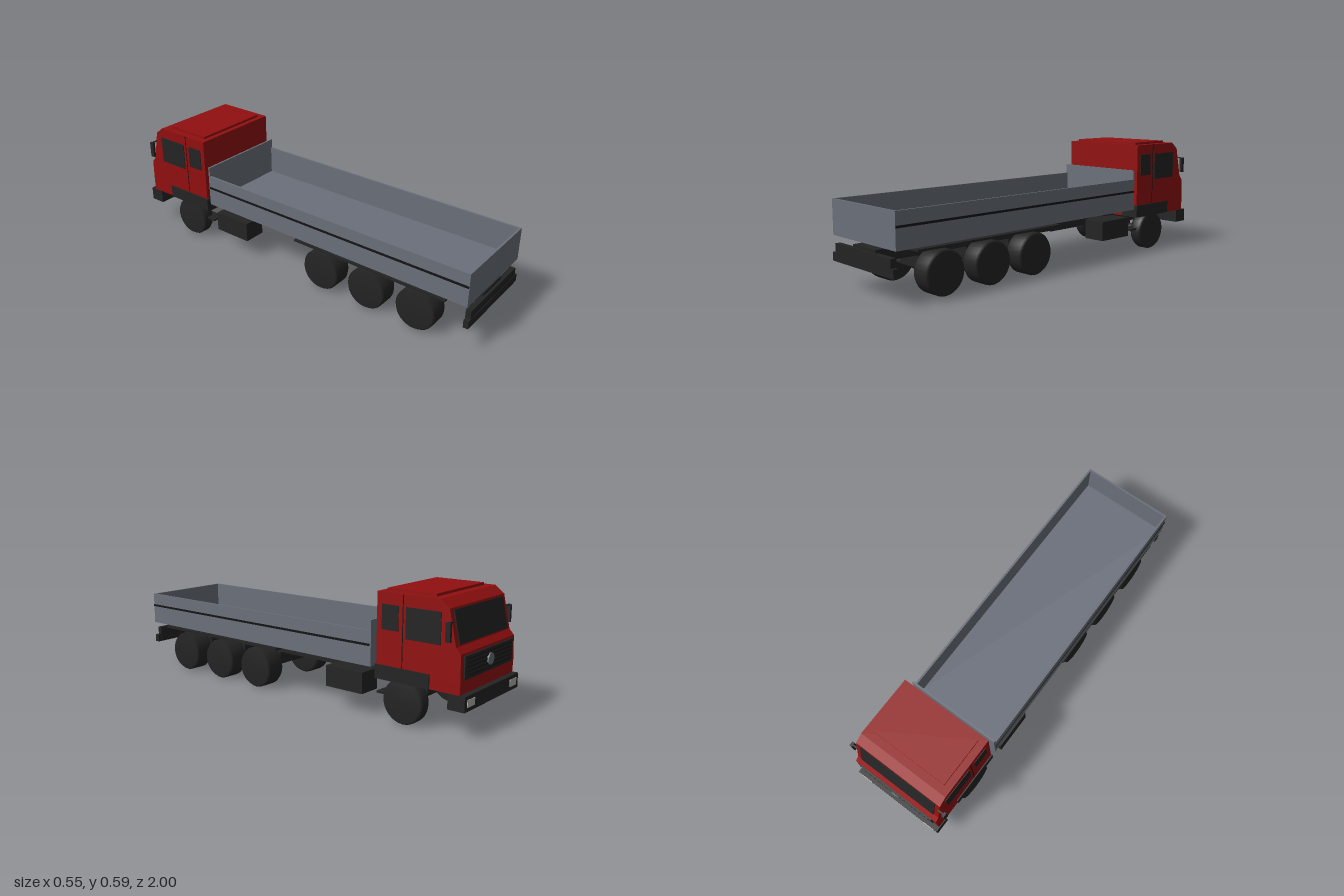
import * as THREE from 'three';

const mat = (name, color) => {
  const m = new THREE.MeshStandardMaterial({ color });
  m.name = name;
  return m;
};

export function createModel() {
  const red = mat('cab red', 0x920f0f);
  const grey = mat('bed grey', 0x6b707b);
  const black = mat('chassis black', 0x242424);
  const dark = mat('line black', 0x141414);
  const lamp = mat('lamp white', 0xb4b4ac);
  const steel = mat('badge grey', 0x6a7278);
  const truck = new THREE.Group();
  truck.name = 'truck';

  const add = (name, geo, material, parent = truck) => {
    const m = new THREE.Mesh(geo, material);
    m.name = name;
    parent.add(m);
    return m;
  };
  // Box given by its limits on each axis
  const box = (name, material, x0, x1, y0, y1, z0, z1, parent = truck) => {
    const m = add(name, new THREE.BoxGeometry(x1 - x0, y1 - y0, z1 - z0), material, parent);
    m.position.set((x0 + x1) / 2, (y0 + y1) / 2, (z0 + z1) / 2);
    return m;
  };
  // The same box on both sides
  const pair = (name, material, x0, x1, ...rest) => {
    box(name + 'Left', material, x0, x1, ...rest);
    box(name + 'Right', material, -x1, -x0, ...rest);
  };

  // Cab body: side profile (forward distance, height) pulled across the width
  const profile = [[0.553, 0.19], [0.97, 0.19], [0.972, 0.25], [0.968, 0.362],
    [0.945, 0.388], [0.91, 0.545], [0.865, 0.58], [0.553, 0.58]];
  const cabGeo = new THREE.ExtrudeGeometry(
    new THREE.Shape(profile.map(p => new THREE.Vector2(...p))),
    { depth: 0.482, bevelEnabled: false });
  cabGeo.translate(0, 0, -0.241).rotateY(Math.PI / 2);
  add('cab', cabGeo, red);
  box('roofHatch', red, -0.205, 0.205, 0.575, 0.592, -0.826, -0.58);

  // Windscreen lies on the sloping front
  const screen = add('windscreen', new THREE.BoxGeometry(0.43, 0.145, 0.008), black);
  screen.position.set(0, 0.466, -0.929);
  screen.rotation.x = Math.atan2(0.035, 0.157);

  // Side glass and door seams
  pair('rearSideWindow', black, 0.237, 0.244, 0.415, 0.527, -0.665, -0.58);
  pair('doorWindow', black, 0.237, 0.244, 0.388, 0.527, -0.874, -0.703);
  pair('doorSeam', dark, 0.237, 0.242, 0.255, 0.578, -0.689, -0.685);

  // Grille with slats and a plain round badge
  box('grille', black, -0.215, 0.215, 0.25, 0.352, -0.976, -0.967);
  for (let i = 0; i < 5; i++) {
    const y = 0.265 + i * 0.018;
    box('grilleSlat', dark, -0.2, 0.2, y, y + 0.006, -0.979, -0.97);
  }
  const badge = add('roundBadge', new THREE.CylinderGeometry(0.026, 0.026, 0.008, 24), steel);
  badge.rotation.x = Math.PI / 2;
  badge.position.set(0, 0.302, -0.98);

  // Front bumper and headlights
  box('frontBumper', black, -0.245, 0.245, 0.122, 0.19, -0.997, -0.917);
  pair('headlight', lamp, 0.162, 0.224, 0.14, 0.173, -1, -0.994);

  // Cab wheel arches, steps and mirrors
  pair('frontFender', black, 0.145, 0.247, 0.19, 0.255, -0.826, -0.548);
  pair('step', black, 0.15, 0.215, 0.113, 0.123, -0.66, -0.54);
  pair('mirror', black, 0.262, 0.275, 0.412, 0.493, -0.935, -0.912);
  pair('mirrorArm', black, 0.235, 0.275, 0.49, 0.495, -0.928, -0.92);

  // Load bed: floor, walls, tall headboard
  box('bedFloor', grey, -0.245, 0.245, 0.236, 0.256, -0.52, 0.99);
  pair('bedSide', grey, 0.235, 0.245, 0.236, 0.4, -0.52, 0.99);
  box('tailgate', grey, -0.235, 0.235, 0.256, 0.4, 0.98, 0.99);
  box('headboard', grey, -0.245, 0.245, 0.236, 0.448, -0.525, -0.515);
  pair('bedStripe', dark, 0.243, 0.249, 0.33, 0.34, -0.518, 0.988);

  // Chassis
  box('frame', black, -0.088, 0.088, 0.163, 0.217, -0.545, 0.985);
  box('frontFrame', black, -0.088, 0.088, 0.14, 0.19, -0.93, -0.545);
  pair('toolBox', black, 0.128, 0.245, 0.1, 0.2, -0.48, -0.27);
  box('boxCarrier', black, -0.13, 0.13, 0.17, 0.2, -0.42, -0.33);
  pair('rearMudguard', black, 0.125, 0.247, 0.218, 0.228, 0.05, 0.885);
  for (const z of [0.12, 0.82]) {
    box('mudguardBracket', black, -0.2, 0.2, 0.205, 0.219, z - 0.01, z + 0.01);
  }
  box('rearBeam', black, -0.217, 0.217, 0.134, 0.203, 0.972, 0.998);
  box('rearBumper', black, -0.237, 0.237, 0.122, 0.162, 0.975, 1);

  // Wheels: chamfered solid drums on plain axles
  const wheelGeo = width => {
    const pts = [[0, 0], [0.094, 0], [0.103, 0.016], [0.103, width - 0.012],
      [0.094, width], [0, width]].map(p => new THREE.Vector2(...p));
    const soft = new THREE.LatheGeometry(pts, 32);
    soft.rotateZ(-Math.PI / 2);
    return soft;
  };
  const rearWheel = wheelGeo(0.108), frontWheel = wheelGeo(0.07);
  for (const z of [0.735, 0.468, 0.203, -0.69]) {
    const front = z < 0, width = front ? 0.07 : 0.108;
    for (const side of [1, -1]) {
      const w = add(front ? 'frontWheel' : 'rearWheel', front ? frontWheel : rearWheel, black);
      w.position.set(side * (0.241 - width), 0.104, z);
      if (side < 0) w.rotation.y = Math.PI;
    }
    const axle = add('axle', new THREE.CylinderGeometry(0.02, 0.02, 0.36, 12), black);
    axle.rotation.z = Math.PI / 2;
    axle.position.set(0, 0.104, z);
    box('axleMount', black, -0.07, 0.07, 0.1, 0.18, z - 0.025, z + 0.025);
  }
  return truck;
}
